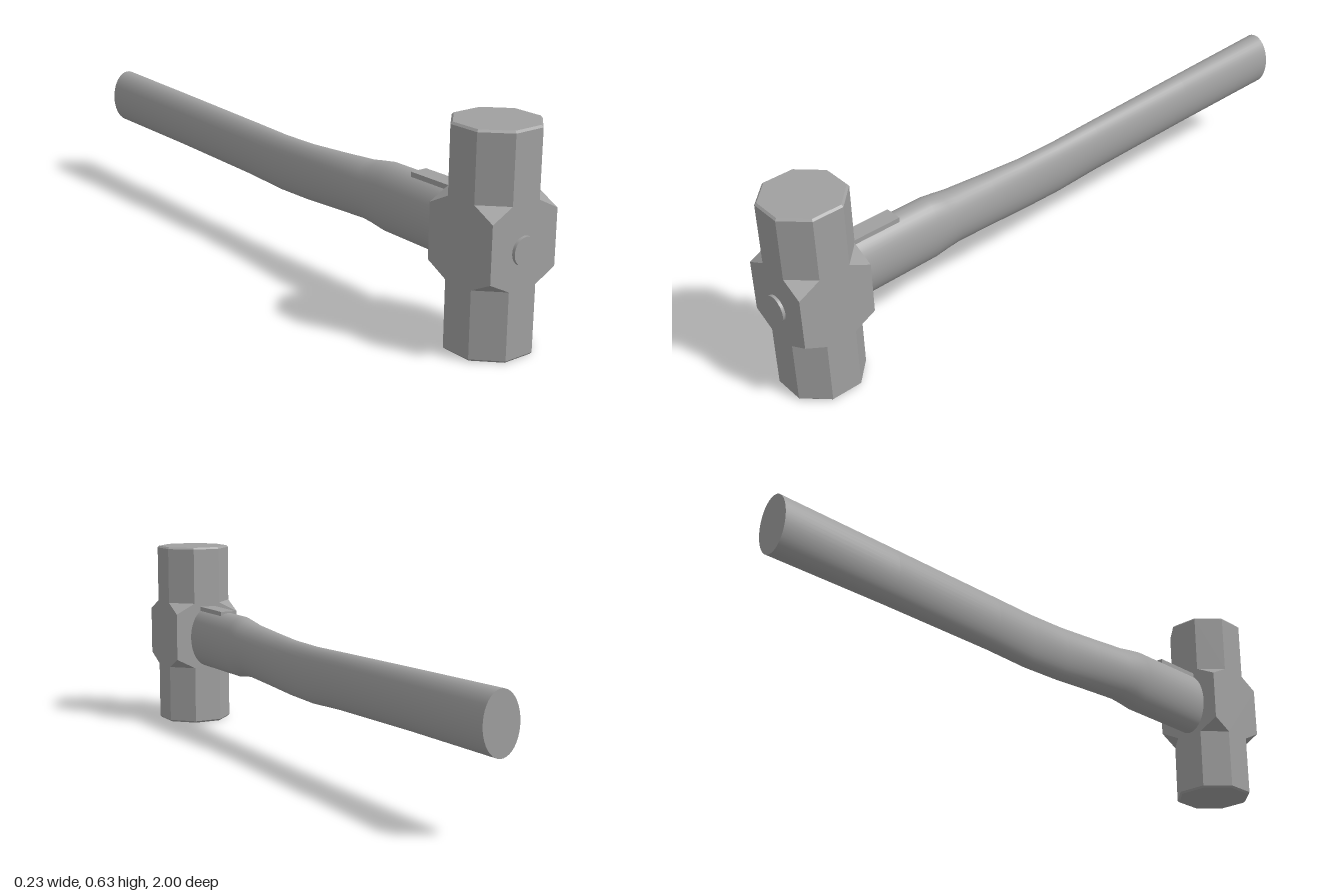
import * as THREE from 'three';
import { ConvexGeometry } from 'three/addons/geometries/ConvexGeometry.js';

const HEAD_Z = 0.874; // centre of the head along the handle
const HALF = 0.117; // half width of the head
const FLAT = HALF * Math.tan(Math.PI / 8); // half width of one octagon flat

// Octagonal hammer face with a small bevel, open where it meets the collar
function faceGeometry(yInner, yOuter) {
  const R = HALF / Math.cos(Math.PI / 8);
  const b = 0.006;
  const dir = Math.sign(yOuter - yInner);
  const pts = [[R, yInner], [R, yOuter - dir * b], [R - b, yOuter], [0, yOuter]]
    .map(([x, y]) => new THREE.Vector2(x, y));
  if (dir < 0) pts.reverse();
  const g = new THREE.LatheGeometry(pts, 8, Math.PI / 8).toNonIndexed();
  g.computeVertexNormals();
  return g;
}

// Square collar whose corners slope back into the octagon
function collarGeometry() {
  const pts = [];
  for (const sx of [-1, 1]) for (const sz of [-1, 1]) {
    for (const [edge, tip] of [[0.2, 0.235], [0.432, 0.397]]) {
      pts.push(
        new THREE.Vector3(sx * HALF, tip, sz * HALF),
        new THREE.Vector3(sx * FLAT, edge, sz * HALF),
        new THREE.Vector3(sx * HALF, edge, sz * FLAT)
      );
    }
  }
  return new ConvexGeometry(pts);
}

// Oval handle; each station is z, bottom y, top y, half width
function handleGeometry() {
  const stations = [
    [-1, 0.22, 0.4, 0.058], [-0.6, 0.216, 0.392, 0.052], [-0.2, 0.208, 0.383, 0.047],
    [-0.04, 0.2, 0.379, 0.045], [0.1, 0.203, 0.381, 0.047], [0.24, 0.212, 0.39, 0.054],
    [0.38, 0.22, 0.4, 0.062], [0.42, 0.216, 0.407, 0.064], [0.47, 0.208, 0.415, 0.065],
    [0.78, 0.206, 0.415, 0.066]
  ];
  const n = stations.length - 1;
  const g = new THREE.CylinderGeometry(1, 1, 2, 40, n);
  g.rotateX(Math.PI / 2);
  const p = g.attributes.position;
  for (let i = 0; i < p.count; i++) {
    const [z, lo, hi, w] = stations[Math.round((p.getZ(i) + 1) / 2 * n)];
    p.setXYZ(i, p.getX(i) * w - 0.003, (lo + hi) / 2 + p.getY(i) * (hi - lo) / 2, z);
  }
  g.computeVertexNormals();
  return g;
}

export function createModel() {
  const model = new THREE.Group();
  model.name = 'sledgehammer';
  const grey = new THREE.MeshStandardMaterial({ color: 0xa0a0a0 });
  grey.name = 'grey';
  const add = (name, geometry, x = 0, y = 0, z = 0) => {
    const mesh = new THREE.Mesh(geometry, grey);
    mesh.name = name;
    mesh.position.set(x, y, z);
    model.add(mesh);
  };

  // Head
  add('upperFace', faceGeometry(0.432, 0.63), 0, 0, HEAD_Z);
  add('lowerFace', faceGeometry(0.2, 0), 0, 0, HEAD_Z);
  add('collar', collarGeometry(), 0, 0, HEAD_Z);

  // Handle, wedge plate on top of it, and the pin showing at the front
  add('handle', handleGeometry());
  add('wedge', new THREE.BoxGeometry(0.055, 0.03, 0.195), -0.003, 0.405, 0.6825);
  const pin = new THREE.CylinderGeometry(0.04, 0.04, 0.03, 40);
  pin.rotateX(Math.PI / 2);
  add('pin', pin, -0.003, 0.305, 0.985);

  return model;
}
